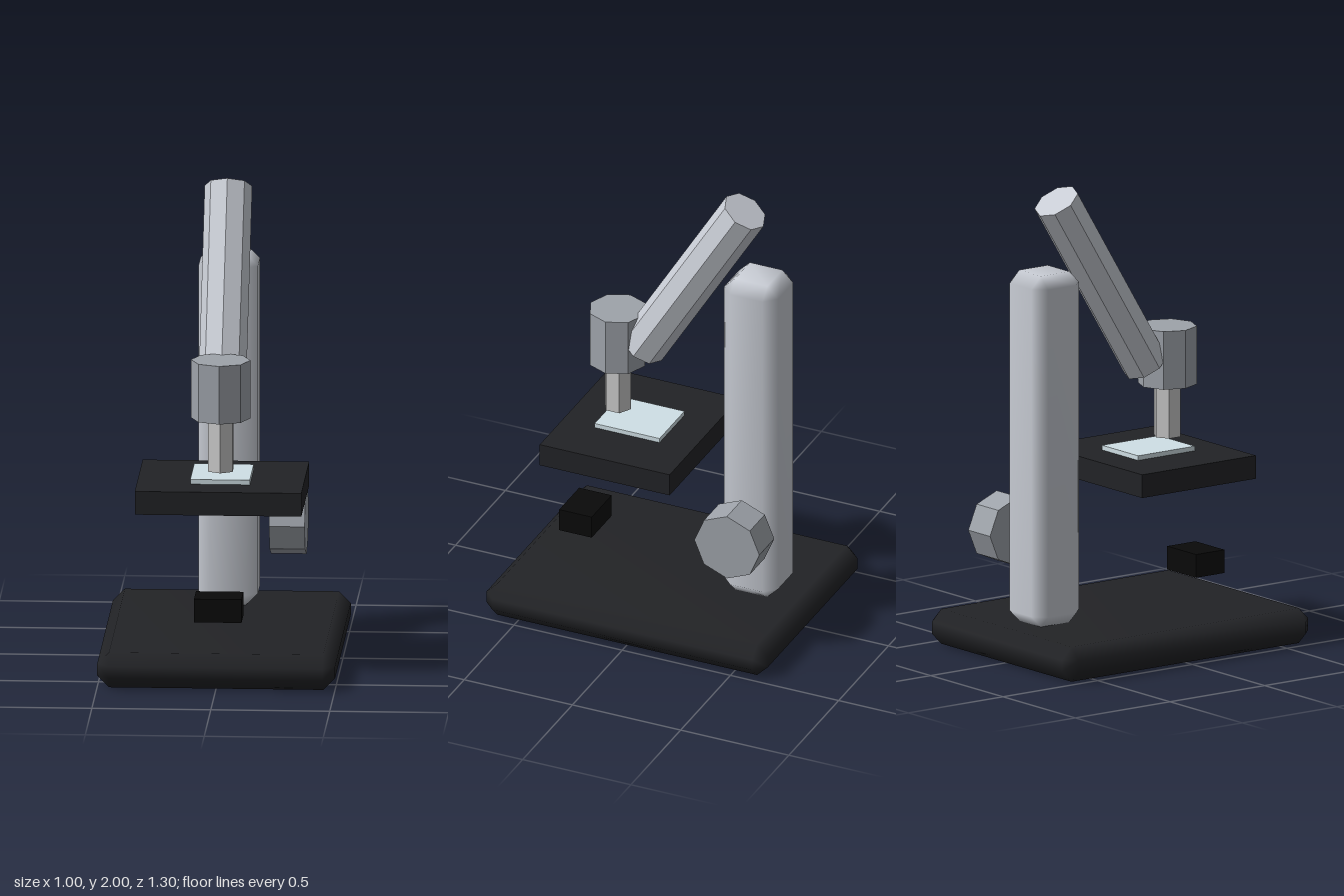
import * as THREE from 'three';
import { mergeVertices } from 'three/addons/utils/BufferGeometryUtils.js';
import { ConvexGeometry } from 'three/addons/geometries/ConvexGeometry.js';

const mat = (color, flatShading = true) => new THREE.MeshStandardMaterial({ color, flatShading });

// Box with every edge cut by a single chamfer, softly shaded
function chamferBox(w, h, d, c) {
  const points = [];
  for (const sx of [-1, 1]) for (const sy of [-1, 1]) for (const sz of [-1, 1]) {
    for (const axis of [0, 1, 2]) {
      const inset = [c, c, c];
      inset[axis] = 0;
      points.push(new THREE.Vector3(
        sx * (w / 2 - inset[0]), sy * (h / 2 - inset[1]), sz * (d / 2 - inset[2])));
    }
  }
  const geo = new ConvexGeometry(points);
  geo.deleteAttribute('normal');
  const smooth = mergeVertices(geo, 1e-4);
  smooth.computeVertexNormals();
  return smooth;
}

export function createModel() {
  const group = new THREE.Group();
  const add = (name, geometry, material, x, y, z) => {
    const mesh = new THREE.Mesh(geometry, material);
    mesh.name = name;
    mesh.position.set(x, y, z);
    group.add(mesh);
    return mesh;
  };
  const prism = (r, h, sides) => new THREE.CylinderGeometry(r, r, h, sides);

  const black = 0x222326, paleMetal = 0xc8ccd4;
  const darkMetal = mat(0x9ea3aa);

  // Foot and upright
  add('base', chamferBox(1, 0.15, 1.3, 0.05), mat(black, false), 0, 0.075, 0);
  add('pillar', chamferBox(0.25, 1.51, 0.25, 0.05), mat(paleMetal, false), 0, 0.905, -0.4);

  // Stage with the glass slide, lamp below
  add('stage', new THREE.BoxGeometry(0.7, 0.1, 0.6), mat(black), 0, 0.76, 0.15);
  add('slide', new THREE.BoxGeometry(0.25, 0.02, 0.3), mat(0xd0e0e6), 0, 0.82, 0.15);
  add('lamp', new THREE.BoxGeometry(0.2, 0.1, 0.15), mat(0x0a0a0a), 0, 0.305, 0.4);

  // Optics: nosepiece, objective and leaning eyepiece tube
  add('nosepiece', prism(0.125, 0.25, 8), darkMetal, 0, 1.21, 0.25);
  add('objective', prism(0.06, 0.225, 6), mat(0xd0d0d2), 0, 0.9725, 0.25);
  add('eyepieceTube', prism(0.1, 0.9, 8), mat(paleMetal), 0, 1.567, -0.102).rotation.x = -0.55;

  // Focus knob on one side
  add('focusKnob', prism(0.15, 0.15, 8), darkMetal, 0.25, 0.505, -0.403).rotation.z = Math.PI / 2;

  return group;
}
